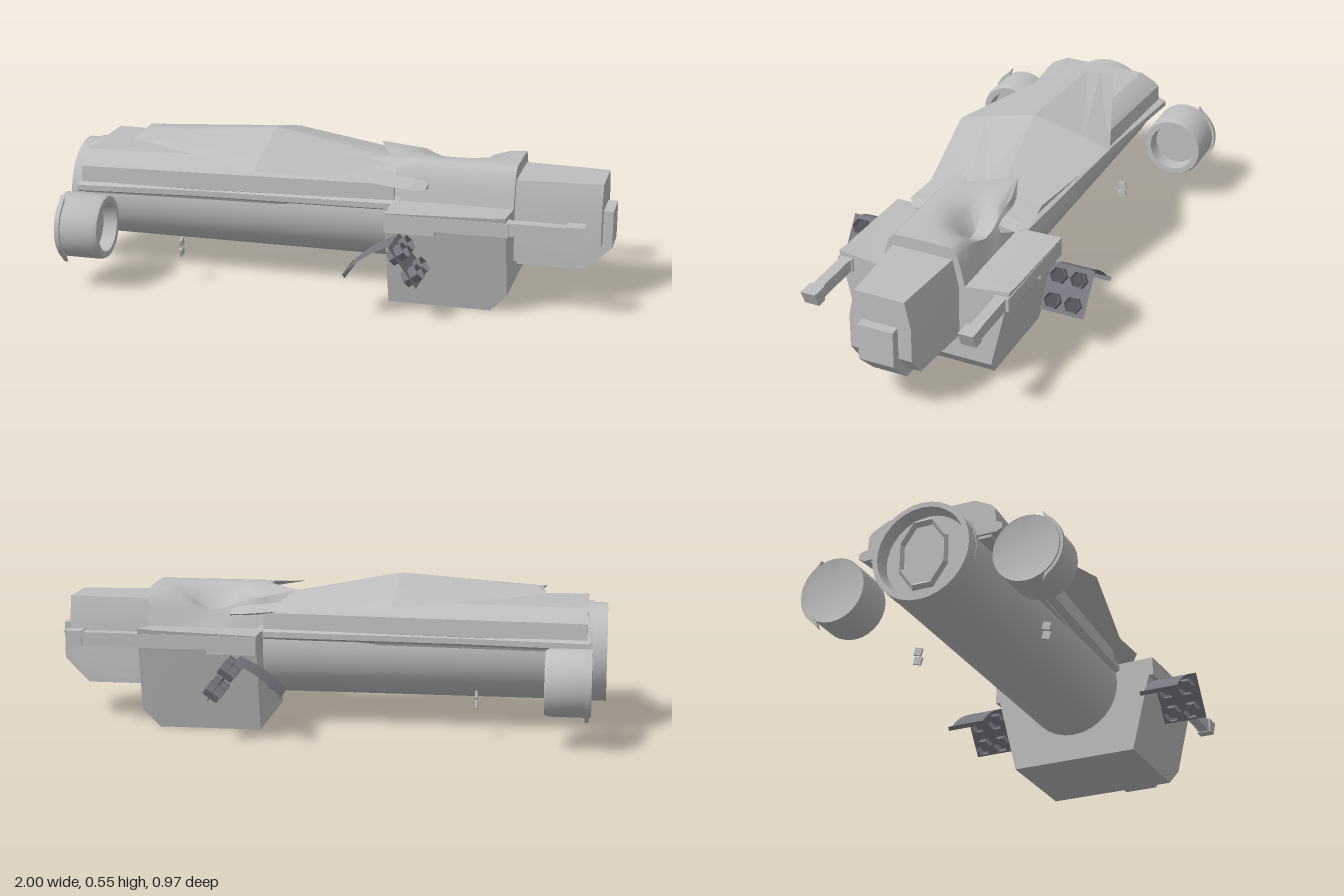
import * as THREE from 'three';
import { toCreasedNormals } from 'three/addons/utils/BufferGeometryUtils.js';

const mat = (name, color) => {
  const m = new THREE.MeshStandardMaterial({ color, side: THREE.DoubleSide });
  m.name = name;
  return m;
};

// Skin along x through half sections [z, y, xOffset], listed bottom to top and mirrored in z.
function loft(sections, crease = 0.35) {
  const rings = sections.map(([x, half]) => {
    const left = half.map(([z, y, dx = 0]) => new THREE.Vector3(x + dx, y, z));
    const right = left.map((p) => new THREE.Vector3(p.x, p.y, -p.z)).reverse();
    return [...left, ...right];
  });
  const out = [];
  const tri = (...ps) => ps.forEach((p) => out.push(p.x, p.y, p.z));
  for (let i = 0; i + 1 < rings.length; i++) {
    const A = rings[i], B = rings[i + 1], n = A.length;
    for (let j = 0; j < n; j++) {
      const k = (j + 1) % n;
      tri(A[j], B[j], B[k]);
      tri(A[j], B[k], A[k]);
    }
  }
  // end caps, each triangle turned to face outwards
  for (const [ring, dir] of [[rings[0], -1], [rings[rings.length - 1], 1]]) {
    const flat = ring.map((p) => new THREE.Vector2(p.z, p.y));
    for (const [a, b, c] of THREE.ShapeUtils.triangulateShape(flat, [])) {
      const cross = (flat[b].x - flat[a].x) * (flat[c].y - flat[a].y) - (flat[b].y - flat[a].y) * (flat[c].x - flat[a].x);
      if (-cross * dir > 0) tri(ring[a], ring[b], ring[c]);
      else tri(ring[a], ring[c], ring[b]);
    }
  }
  const g = new THREE.BufferGeometry();
  g.setAttribute('position', new THREE.Float32BufferAttribute(out, 3));
  return toCreasedNormals(g, crease);
}

// Turned shape about the x axis, from [radius, x] points.
function turned(points, sides) {
  const g = new THREE.LatheGeometry(points.map((p) => new THREE.Vector2(...p)), sides);
  return toCreasedNormals(g.rotateZ(-Math.PI / 2), 0.5);
}

export function createModel() {
  const root = new THREE.Group();
  const hull = mat('hullGrey', 0xbebebe);
  const gunmetal = mat('launcherGrey', 0x77777f);
  const bore = mat('boreGrey', 0x505056);

  const add = (name, geo, material = hull, pos = [0, 0, 0], parent = root) => {
    const m = new THREE.Mesh(geo, material);
    m.name = name;
    m.position.set(...pos);
    parent.add(m);
    return m;
  };
  const box = (name, x0, x1, y0, y1, z0, z1) =>
    add(name, new THREE.BoxGeometry(x1 - x0, y1 - y0, Math.abs(z1 - z0)), hull,
      [(x0 + x1) / 2, (y0 + y1) / 2, (z0 + z1) / 2]);

  // fuselage: round belly, tapering faceted upper deck and side rails
  add('belly', turned([[0, -0.95], [0.18, -0.95], [0.18, 0.25], [0, 0.25]], 32), hull, [0, 0.28, 0]);
  const deck = (w) => [[w - 0.02, 0.31], [w, 0.355], [w - 0.005, 0.415], [w - 0.02, 0.43], [w - 0.08, 0.46]];
  add('upperDeck', loft([[-0.93, deck(0.24)], [0.23, deck(0.172)]]));
  const rail = (w) => [[w - 0.02, 0.32], [w, 0.33], [w, 0.35], [w - 0.02, 0.358]];
  add('sideRails', loft([[-0.94, rail(0.265)], [-0.5, rail(0.222)], [0.25, rail(0.19)]]));

  // main engine nozzle
  add('mainNozzle', turned([[0, -0.94], [0.15, -0.94], [0.16, -1], [0.178, -1], [0.178, -0.92]], 32),
    hull, [0, 0.275, 0]);
  const frame = new THREE.TorusGeometry(0.125, 0.014, 4, 8);
  frame.rotateZ(Math.PI / 8).scale(0.7, 1, 1).rotateY(Math.PI / 2);
  add('nozzleFrame', toCreasedNormals(frame, 0.3), hull, [-0.975, 0.275, 0]);

  // thin arrow-shaped back plate with a notched tail and a forked front
  add('backPlate', loft([
    [-0.78, [[0.001, 0.49, 0.03], [0.1, 0.495], [0.05, 0.504, 0.015], [0.001, 0.51, 0.03]]],
    [-0.25, [[0.001, 0.462], [0.305, 0.47], [0.2, 0.5], [0.001, 0.548]]],
    [0.17, [[0.001, 0.42], [0.22, 0.43], [0.06, 0.462], [0.001, 0.466]]],
    [0.3, [[0.001, 0.37], [0.235, 0.42], [0.13, 0.438], [0.1, 0.39]]],
    [0.35, [[0.001, 0.37], [0.2, 0.414], [0.14, 0.424], [0.1, 0.38]]],
  ], 0.1));

  // head block with a chamfered chin
  const shoulders = (y) => [[0.325, y], [0.16, 0.355]];
  add('headBlock', loft([
    [0.23, [[0.24, 0], ...shoulders(0.358)]],
    [0.6, [[0.24, 0], ...shoulders(0.37)]],
    [0.66, [[0.255, 0.065], ...shoulders(0.375)]],
  ]));
  // cockpit ridge with rear points, sunk into a smooth hollow on its right side
  const ridge = loft([0.23, 0.29, 0.34, 0.39, 0.44, 0.49, 0.54, 0.6, 0.66].map((x, i) =>
    [x, [[0.16, 0.35], [0.145, 0.415], [0.13, 0.47], [0.105, 0.493, i ? 0 : -0.11], [0.065, 0.495], [0.02, 0.495]]]));
  const rp = ridge.attributes.position;
  for (let i = 0; i < rp.count; i++) {
    const x = rp.getX(i), y = rp.getY(i), z = rp.getZ(i);
    const sink = 0.11 * Math.exp(-(((x - 0.42) / 0.1) ** 2) - ((z + 0.08) / 0.06) ** 2);
    if (x < 0.65) rp.setY(i, Math.max(Math.min(y, 0.352), y - sink));
  }
  add('cockpitRidge', toCreasedNormals(ridge, 0.8));

  // nose and its raised centre block
  const nose = (w, bottom) => [[w, bottom], [w, 0.35], [w - 0.022, 0.45]];
  add('nose', loft([
    [0.64, nose(0.137, 0.155)],
    [0.91, nose(0.117, 0.155)],
    [0.965, nose(0.114, 0.225)],
  ]));
  const tip = (b) => [[0.065, b], [0.065, 0.345]];
  add('noseTip', loft([[0.65, tip(0.12)], [0.91, tip(0.12)], [1, tip(0.21)]]));

  for (const s of [1, -1]) {
    // gun mounts and barrels
    box('gunMount', 0.23, 0.41, 0.288, 0.355, s * 0.27, s * 0.325);
    box('gunSleeve', 0.41, 0.67, 0.305, 0.355, s * 0.27, s * 0.325);
    box('gunBarrel', 0.66, 0.87, 0.308, 0.355, s * 0.275, s * 0.315);
    const muzzle = new THREE.Shape([[0.865, 0.305], [0.905, 0.305], [0.93, 0.36], [0.865, 0.36]]
      .map((p) => new THREE.Vector2(...p)));
    add('gunMuzzle', new THREE.ExtrudeGeometry(muzzle, { depth: 0.055, bevelEnabled: false }),
      hull, [0, 0, s * 0.293 - 0.0275]);

    // rear engine pod with a crescent guard on its outer side
    add('enginePod', turned([[0, -0.078], [0.112, -0.078], [0.118, -0.08], [0.118, 0.065],
      [0.112, 0.08], [0.09, 0.08], [0.085, 0.03], [0, 0.03]], 28), hull, [-0.87, 0.23, s * 0.355]);
    const crescent = new THREE.Shape();
    crescent.absarc(0, 0, 0.128, -0.95, 0.95, false);
    crescent.lineTo(0.055, 0.127);
    crescent.absarc(0, 0, 0.112, 0.95, -0.95, true);
    crescent.lineTo(0.055, -0.127);
    const guard = new THREE.ExtrudeGeometry(crescent, { depth: 0.015, bevelEnabled: false, curveSegments: 16 });
    guard.translate(0, 0, -0.0075).rotateY(-s * Math.PI / 2);
    add('podGuard', toCreasedNormals(guard, 0.5), hull, [-0.935, 0.23, s * 0.355]);

    // small floating vanes
    for (const y of [0.12, 0.155]) {
      const vane = add('vane', new THREE.BoxGeometry(0.008, 0.028, 0.03), hull, [-0.547, y, s * 0.245]);
      vane.rotation.x = 0.3;
    }

    // four-tube launcher, pitched upwards, under a thin bowed cover
    const launcher = new THREE.Group();
    launcher.name = 'launcher';
    launcher.position.set(0.332, 0.217, s * 0.393);
    launcher.rotation.z = 0.61;
    root.add(launcher);
    const plate = new THREE.PlaneGeometry(0.166, 0.172).rotateY(Math.PI / 2);
    add('launcherPlate', plate, gunmetal, [0, 0, 0], launcher);
    const cover = new THREE.PlaneGeometry(0.2, 0.13, 6, 1).rotateX(-Math.PI / 2);
    const cp = cover.attributes.position;
    for (let i = 0; i < cp.count; i++) cp.setY(i, 0.012 * (1 - (cp.getX(i) / 0.1) ** 2));
    cover.computeVertexNormals();
    add('launcherCover', cover, gunmetal, [-0.1, 0.084, 0], launcher);
    const lip = new THREE.PlaneGeometry(0.16, 0.016).rotateY(Math.PI / 2);
    add('coverLip', lip, gunmetal, [-0.2, 0.078, 0], launcher);
    for (const y of [-0.047, 0.043]) for (const z of [-0.038, 0.038]) {
      const tube = turned([[0.031, -0.03], [0.031, 0.03], [0.029, 0.03], [0.025, -0.02]], 6);
      add('launchTube', tube, gunmetal, [0, y, z], launcher);
      const end = new THREE.CircleGeometry(0.027, 6).rotateY(Math.PI / 2);
      add('tubeBore', end, bore, [0.008, y, z], launcher);
    }
  }
  return root;
}
